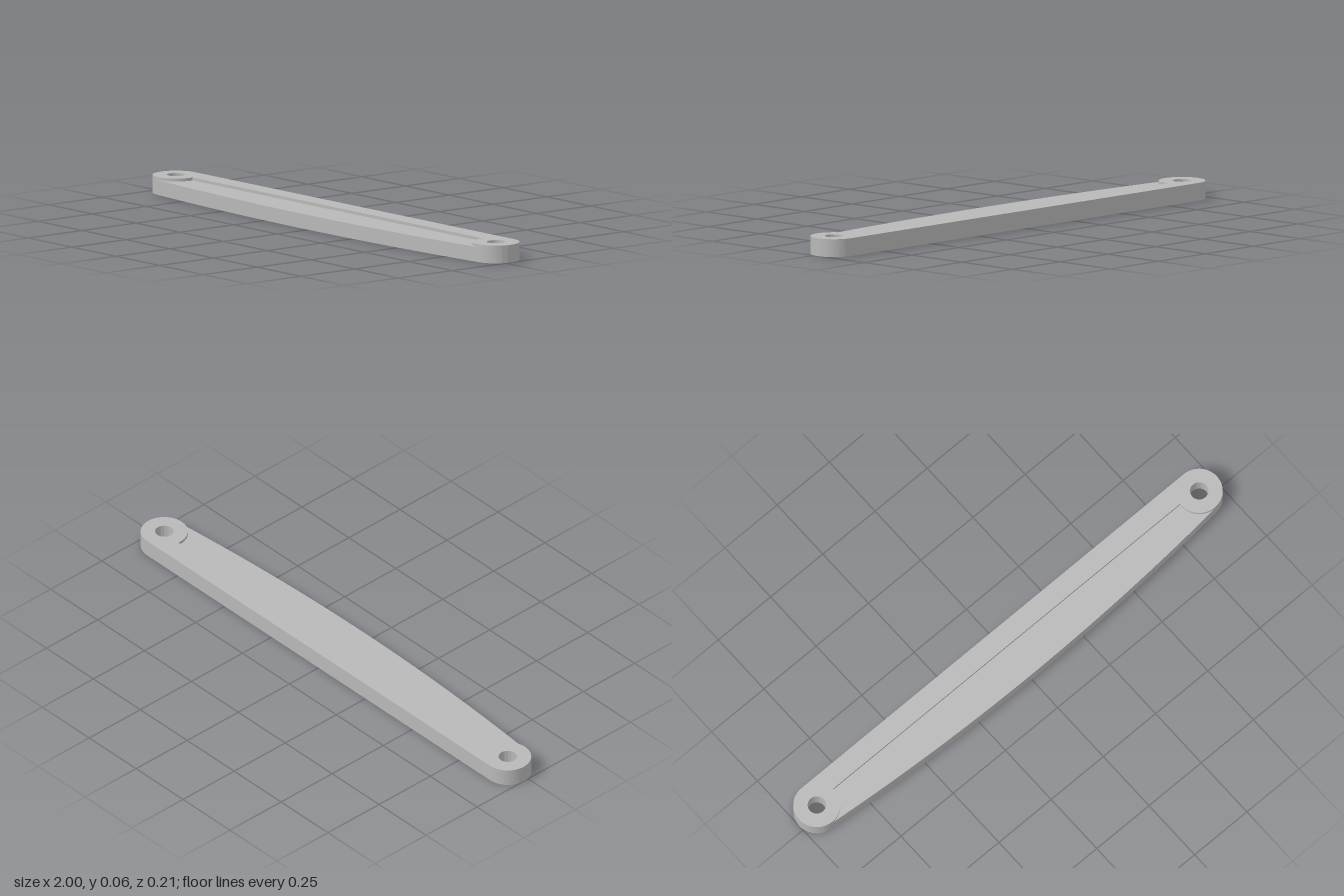
import * as THREE from 'three';
import { toCreasedNormals } from 'three/addons/utils/BufferGeometryUtils.js';

const X = 0.915, CY = 0.022, R = 0.085, HOLE = 0.033; // pivot ends (shape y is -z)
const LOW = 0.054, HIGH = 0.065;                      // plate and rail heights

function addHoles(shape) {
  for (const s of [-1, 1]) {
    const hole = new THREE.Path();
    hole.absarc(s * X, CY, HOLE, 0, Math.PI * 2, false);
    shape.holes.push(hole);
  }
  return shape;
}

// Full outline: straight back, round ends, shallow bowed front
function plateShape() {
  const shape = new THREE.Shape();
  const bowR = 9.48, bowY = -0.1077 + bowR;
  const a = Math.asin(X / (bowR - R)); // both arcs are tangent at this angle
  shape.moveTo(-X, CY + R);
  shape.lineTo(X, CY + R);
  shape.absarc(X, CY, R, Math.PI / 2, -Math.PI / 2 + a, true);
  shape.absarc(0, bowY, bowR, -Math.PI / 2 + a, -Math.PI / 2 - a, true);
  shape.absarc(-X, CY, R, -Math.PI / 2 - a, -Math.PI * 1.5, true);
  return addHoles(shape);
}

// Raised outline: narrow back rail joining two round bosses
function railShape() {
  const shape = new THREE.Shape();
  const a = Math.asin((0.03 - CY) / R);
  shape.moveTo(-X, CY + R);
  shape.lineTo(X, CY + R);
  shape.absarc(X, CY, R, Math.PI / 2, -Math.PI - a, true);
  shape.absarc(-X, CY, R, a, -Math.PI * 1.5, true);
  return addHoles(shape);
}

function slab(name, shape, bottom, top, material) {
  const geometry = new THREE.ExtrudeGeometry(shape, {
    depth: top - bottom, bevelEnabled: false, curveSegments: 32,
  });
  geometry.rotateX(-Math.PI / 2);
  geometry.translate(0, bottom, 0);
  const mesh = new THREE.Mesh(toCreasedNormals(geometry, 0.5), material);
  mesh.name = name;
  return mesh;
}

export function createModel() {
  const grey = new THREE.MeshStandardMaterial({ color: 0xb8b8b8 });
  grey.name = 'grey';
  const group = new THREE.Group();
  group.name = 'linkArm';
  group.add(slab('bowedPlate', plateShape(), 0, LOW, grey));
  group.add(slab('raisedRailAndBosses', railShape(), LOW, HIGH, grey));
  return group;
}
